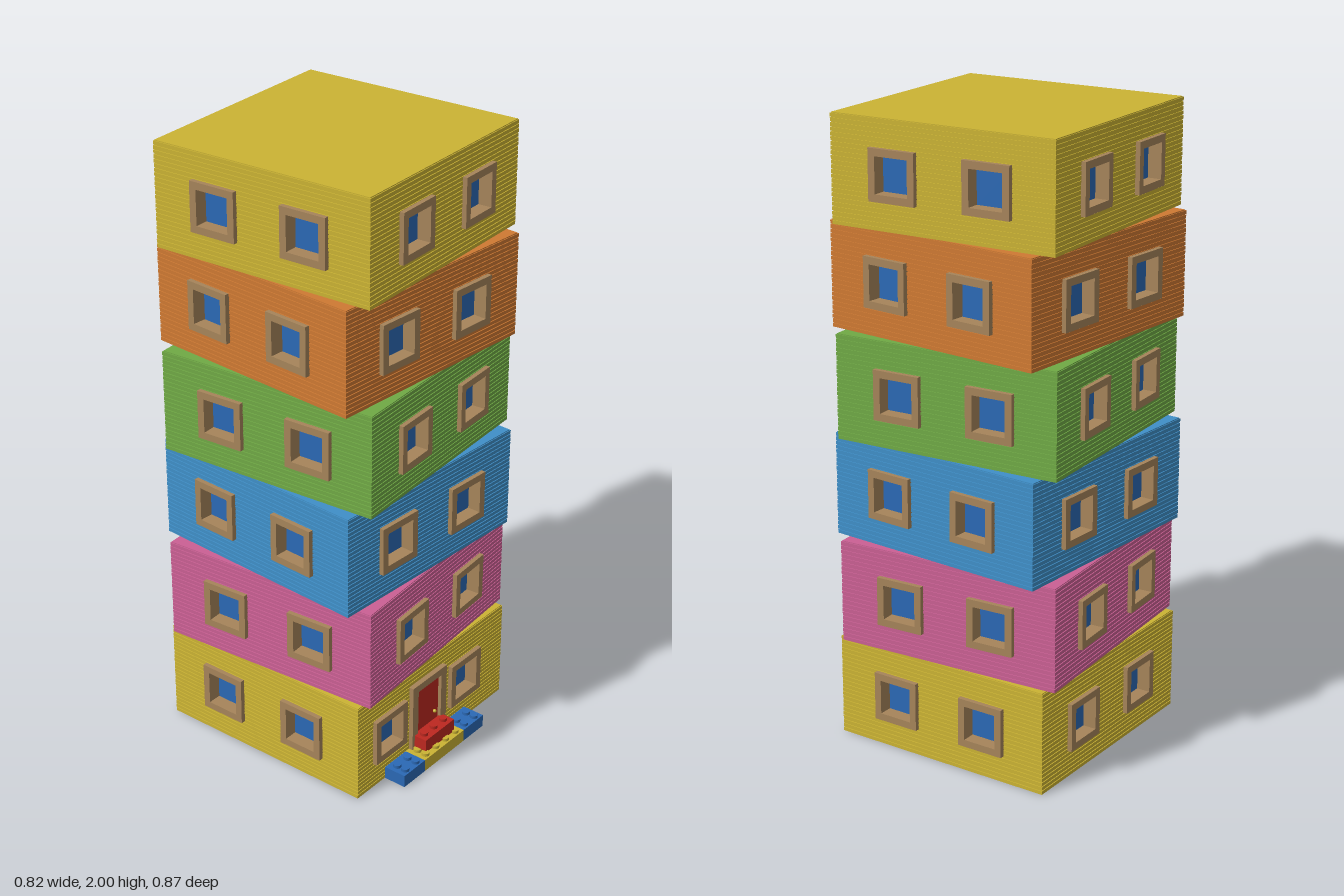
import * as THREE from 'three';
import { mergeGeometries } from 'three/addons/utils/BufferGeometryUtils.js';

const mat = (name, color) => {
  const m = new THREE.MeshStandardMaterial({ color });
  m.name = name;
  return m;
};
const M = {
  yellow: mat('yellow', 0xcbb333),
  pink: mat('pink', 0xcb6094),
  sky: mat('skyBlue', 0x3f8fc8),
  green: mat('green', 0x70aa45),
  orange: mat('orange', 0xce7932),
  frame: mat('frameTan', 0xa6845a),
  blue: mat('deepBlue', 0x2b69b5),
  red: mat('red', 0xbd2820),
};

const HALF = 0.38, CORE = 0.33, RIDGE = 0.003, STOREY = 1 / 3, COURSES = 24;
const FACE = HALF - RIDGE; // plane of the grooves between courses
const CENTRE_Z = -0.025;

function add(parent, name, geo, material, x = 0, y = 0, z = 0) {
  const m = new THREE.Mesh(geo, material);
  m.name = name;
  m.position.set(x, y, z);
  parent.add(m);
  return m;
}
const box = (x0, x1, y0, y1, z0, z1) =>
  new THREE.BoxGeometry(x1 - x0, y1 - y0, z1 - z0)
    .translate((x0 + x1) / 2, (y0 + y1) / 2, (z0 + z1) / 2);

const rect = (T, [x0, x1, y0, y1]) =>
  new T([[x0, y0], [x1, y0], [x1, y1], [x0, y1]].map(p => new THREE.Vector2(...p)));

// rectangle with rectangular holes, extruded from z0 to z1
function pierced(outer, holes, z0, z1) {
  const s = rect(THREE.Shape, outer);
  s.holes = holes.map(h => rect(THREE.Path, h));
  return new THREE.ExtrudeGeometry(s, { depth: z1 - z0, bevelEnabled: false }).translate(0, 0, z0);
}

// thin raised courses on a wall, interrupted at the openings
function courseGeometry(openings) {
  const pitch = STOREY / COURSES, parts = [];
  for (let i = 0; i < COURSES; i++) {
    const y0 = i * pitch, y1 = y0 + pitch * 0.8, yc = (y0 + y1) / 2;
    let x = -FACE;
    const cuts = openings.filter(o => yc > o[2] && yc < o[3]).sort((a, b) => a[0] - b[0]);
    for (const c of [...cuts, [HALF, HALF]]) {
      parts.push(box(x, c[0], y0, y1, FACE, HALF));
      x = c[1];
    }
  }
  return mergeGeometries(parts);
}

// square opening cut for a window centred at x
const windowHole = x => [x - 0.068, x + 0.068, 0.099, 0.235];

function addWindow(parent, x) {
  const g = new THREE.Group();
  g.name = 'window';
  g.position.set(x, 0.167, 0);
  add(g, 'windowFrame', pierced([-0.079, 0.079, -0.079, 0.079],
    [[-0.056, 0.056, -0.056, 0.056]], CORE, 0.395), M.frame);
  add(g, 'windowGlass', box(-0.06, 0.06, -0.06, 0.06, 0.342, 0.35), M.blue);
  parent.add(g);
}

function addDoor(parent) {
  const g = new THREE.Group();
  g.name = 'door';
  g.position.x = -0.031;
  const s = new THREE.Shape([[-0.088, 0], [-0.06, 0], [-0.06, 0.25], [0.06, 0.25],
    [0.06, 0], [0.088, 0], [0.088, 0.275], [-0.088, 0.275]].map(p => new THREE.Vector2(...p)));
  add(g, 'doorFrame', new THREE.ExtrudeGeometry(s, { depth: 0.03, bevelEnabled: false }), M.frame, 0, 0, 0.365);
  add(g, 'doorPanel', box(-0.06, 0.06, 0, 0.25, 0.365, 0.383), M.red);
  add(g, 'doorKnob', new THREE.SphereGeometry(0.006, 12, 8), M.yellow, 0.037, 0.122, 0.388);
  parent.add(g);
}

function makeStorey(material, hasDoor) {
  const g = new THREE.Group();
  add(g, 'storeyCore', box(-CORE, CORE, 0, STOREY, -CORE, CORE), material);
  for (let k = 0; k < 4; k++) {
    const side = new THREE.Group();
    side.name = ['frontWall', 'leftWall', 'backWall', 'rightWall'][k];
    side.rotation.y = k * Math.PI / 2;
    const entrance = hasDoor && k === 0;
    const xs = entrance ? [-0.225, 0.166] : [-0.16, 0.16];
    const holes = xs.map(windowHole);
    add(side, 'wallPanel', pierced([-FACE, CORE, 0, STOREY], holes, CORE, FACE), material);
    const gaps = entrance ? [...holes, [-0.115, 0.053, -1, 0.27]] : holes;
    add(side, 'wallCourses', courseGeometry(gaps), material);
    xs.forEach(x => addWindow(side, x));
    if (entrance) addDoor(side);
    g.add(side);
  }
  return g;
}

// studded brick; the studs stand in a grid of columns and given z rows
function addBrick(parent, name, material, [x0, x1], [y0, y1], [z0, z1], columns, rows) {
  const parts = [box(x0, x1, y0, y1, z0, z1)];
  const pitch = (x1 - x0) / columns;
  for (let i = 0; i < columns; i++)
    for (const z of rows)
      parts.push(new THREE.CylinderGeometry(0.013, 0.013, 0.01, 20)
        .translate(x0 + pitch * (i + 0.5), y1 + 0.005, z));
  add(parent, name, mergeGeometries(parts), material);
}

export function createModel() {
  const root = new THREE.Group();
  root.name = 'tower';

  // storeys, each twisted a little against the one below
  const storeys = [
    ['yellow', 0], ['pink', 4], ['sky', -3.3], ['green', 4], ['orange', -4], ['yellow', 3.1],
  ];
  storeys.forEach(([colour, degrees], i) => {
    const s = makeStorey(M[colour], i === 0);
    s.name = 'storey' + (i + 1);
    s.position.set(0, i * STOREY, CENTRE_Z);
    s.rotation.y = THREE.MathUtils.degToRad(degrees);
    root.add(s);
  });

  // doorstep of studded bricks
  const step = new THREE.Group();
  step.name = 'doorstep';
  const y = [0, 0.042], z = [0.356, 0.433], rows = [0.384, 0.415];
  addBrick(step, 'rightStepBrick', M.blue, [-0.243, -0.137], y, z, 2, rows);
  addBrick(step, 'middleStepBrick', M.yellow, [-0.137, 0.071], y, z, 4, rows);
  addBrick(step, 'leftStepBrick', M.blue, [0.071, 0.177], y, z, 2, rows);
  addBrick(step, 'topStepBrick', M.red, [-0.108, 0.042], [0.046, 0.092], [0.362, 0.414], 3, [0.388]);
  root.add(step);

  return root;
}
